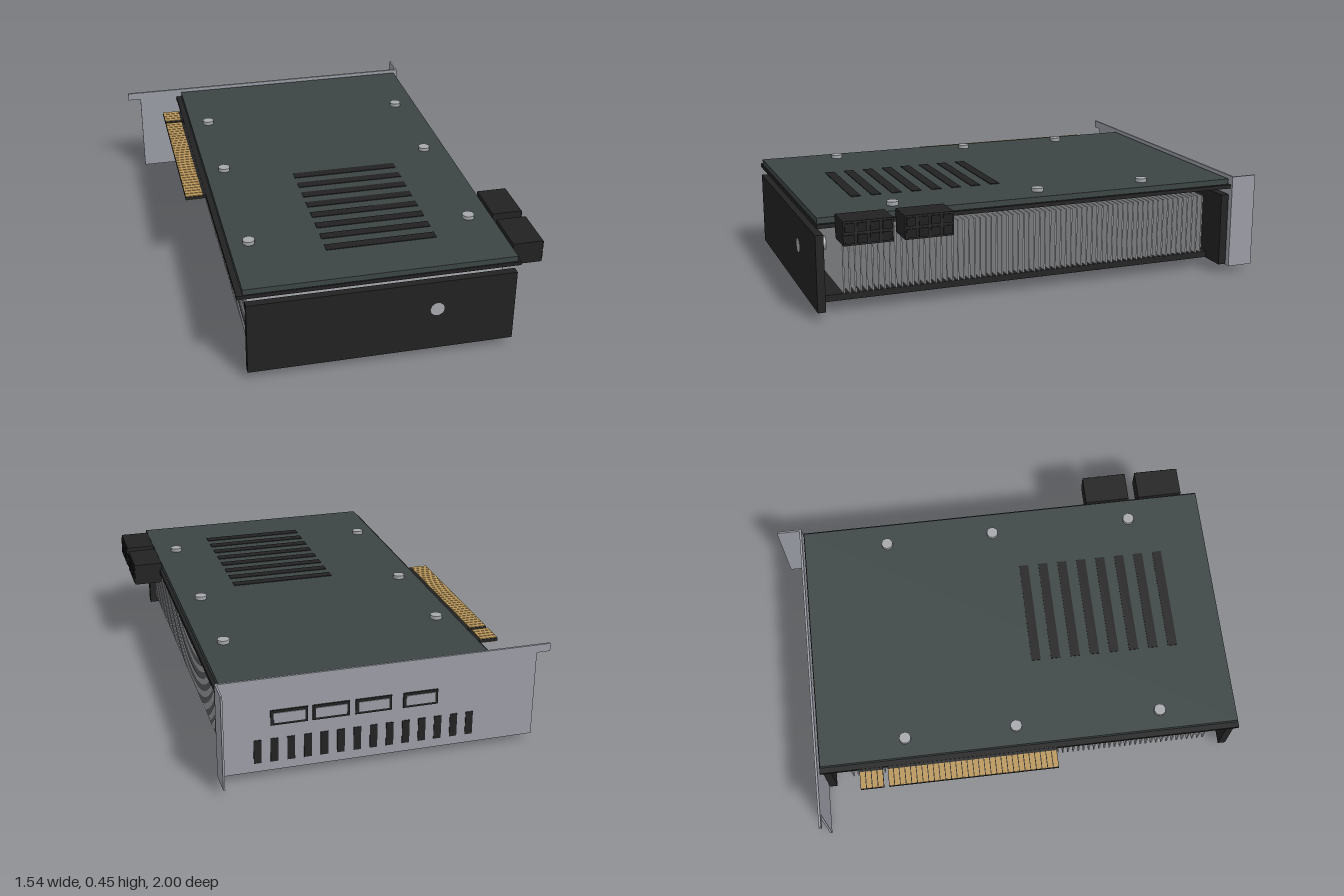
import * as THREE from 'three';

export function createModel() {
  const model = new THREE.Group();
  const mat = (name, color) => {
    const m = new THREE.MeshStandardMaterial({ color });
    m.name = name;
    return m;
  };
  const black = mat('black plastic', 0x222222);
  const fanBlack = mat('fan black', 0x1b1b1b);
  const slate = mat('slate metal', 0x3c4444);
  const steel = mat('bracket steel', 0x9a9ca5);
  const aluminium = mat('fin aluminium', 0xa6a8ac);
  const gold = mat('gold contact', 0xb8965a);
  const purple = mat('purple strip', 0x33217a);

  const add = (name, geometry, material, parent = model) => {
    const m = new THREE.Mesh(geometry, material);
    m.name = name;
    parent.add(m);
    return m;
  };
  // Box given by its minimum and maximum on each axis
  const box = (name, material, [x0, x1], [y0, y1], [z0, z1], parent = model) => {
    const m = add(name, new THREE.BoxGeometry(x1 - x0, y1 - y0, z1 - z0), material, parent);
    m.position.set((x0 + x1) / 2, (y0 + y1) / 2, (z0 + z1) / 2);
    return m;
  };
  const group = (name) => {
    const g = new THREE.Group();
    g.name = name;
    model.add(g);
    return g;
  };

  // Circuit board and backplate with vent slots
  box('circuitBoard', black, [-0.53, 0.645], [0.392, 0.409], [-0.88, 0.995]);
  box('backplate', slate, [-0.505, 0.63], [0.409, 0.433], [-0.875, 0.99]);
  const slots = group('backplateSlots');
  for (let i = 0; i < 8; i++) {
    const z = 0.132 + i * 0.0893;
    box('slot', black, [-0.12, 0.35], [0.431, 0.436], [z - 0.021, z + 0.021], slots);
  }

  // Backplate screws
  const screws = group('screws');
  for (const x of [-0.42, 0.53]) {
    for (const z of [-0.49, 0.005, 0.65]) {
      add('screw', new THREE.CylinderGeometry(0.026, 0.026, 0.018, 12), aluminium, screws).position.set(x, 0.44, z);
    }
  }

  // Edge connector with gold fingers on both faces
  const edge = group('edgeConnector');
  for (const [z0, z1, count] of [[-0.705, -0.602, 4], [-0.58, 0.172, 30]]) {
    box('connectorTab', black, [-0.62, -0.52], [0.393, 0.407], [z0, z1], edge);
    const pitch = (z1 - z0) / count;
    for (let i = 0; i < count; i++) {
      const z = z0 + (i + 0.5) * pitch;
      const span = [z - pitch * 0.43, z + pitch * 0.43];
      box('finger', gold, [-0.619, -0.543], [0.406, 0.41], span, edge);
      box('finger', gold, [-0.619, -0.543], [0.39, 0.394], span, edge);
    }
  }

  // Power sockets, each with two rows of four cells
  const power = group('powerSockets');
  for (const [z0, z1] of [[0.465, 0.668], [0.715, 0.918]]) {
    box('socketBody', black, [0.635, 0.765], [0.346, 0.445], [z0, z1], power);
    for (let i = 0; i < 4; i++) {
      for (const y of [0.372, 0.419]) {
        const z = z0 + (i + 0.5) * (z1 - z0) / 4;
        box('socketCell', fanBlack, [0.764, 0.77], [y - 0.018, y + 0.018], [z - 0.019, z + 0.019], power);
      }
    }
  }

  // End plates and shroud
  box('frontPlate', black, [-0.495, 0.63], [0.037, 0.361], [0.965, 0.999]);
  box('rearPlate', black, [-0.495, 0.63], [0.037, 0.361], [-0.88, -0.845]);
  box('fanShroud', black, [-0.365, 0.515], [0.04, 0.068], [-0.85, 0.97]);
  for (const x of [-0.335, 0.485]) {
    box('accentStrip', purple, [x - 0.016, x + 0.016], [0.035, 0.041], [-0.83, 0.95]);
  }

  // Cooling fins and the heat pipe through them
  const fins = group('coolingFins');
  for (let i = 0; i < 68; i++) {
    const z = 0.883 - i * 0.0245;
    box('fin', aluminium, [-0.475, 0.61], [0.1, 0.361], [z - 0.003, z + 0.003], fins);
  }
  const pipe = add('heatPipe', new THREE.CylinderGeometry(0.03, 0.03, 1.84, 20), aluminium);
  pipe.rotation.x = Math.PI / 2;
  pipe.position.set(0.295, 0.23, 0.08);

  // Two fans with pitched blades that show below the shroud
  for (const z of [0.425, -0.405]) {
    const fan = group('fan');
    fan.position.set(0.075, 0.0625, z);
    add('fanFrame', new THREE.CylinderGeometry(0.39, 0.39, 0.025, 40), black, fan).position.y = 0.01;
    add('fanHub', new THREE.CylinderGeometry(0.09, 0.09, 0.09, 24), fanBlack, fan);
    for (let i = 0; i < 9; i++) {
      const arm = new THREE.Group();
      arm.name = 'bladeArm';
      arm.rotation.y = (i / 9) * Math.PI * 2;
      fan.add(arm);
      const blade = add('blade', new THREE.BoxGeometry(0.27, 0.008, 0.166), fanBlack, arm);
      blade.position.x = 0.205;
      blade.rotation.x = Math.PI / 4;
    }
  }

  // Mounting bracket: outline with side tab, plus bent flange
  const outline = new THREE.Shape([
    [-0.715, 0.03], [0.65, 0.03], [0.65, 0.445], [-0.775, 0.445], [-0.775, 0.41], [-0.715, 0.41],
  ].map(([x, y]) => new THREE.Vector2(x, y)));
  const bracket = add('bracketPlate', new THREE.ExtrudeGeometry(outline, { depth: 0.01, bevelEnabled: false }), steel);
  bracket.position.z = -0.895;
  box('bracketFlange', steel, [0.642, 0.65], [0.03, 0.445], [-1, -0.886]);

  // Bracket vents
  const vents = group('bracketVents');
  for (let i = 0; i < 14; i++) {
    const x = 0.485 - i * 0.07;
    box('vent', black, [x - 0.016, x + 0.016], [0.07, 0.175], [-0.898, -0.893], vents);
  }

  // Display ports: dark housing with a metal face
  const ports = group('displayPorts');
  [[0.275, 0.43], [0.1, 0.255], [-0.08, 0.075], [-0.28, -0.13]].forEach(([x0, x1]) => {
    box('portHousing', black, [x0, x1], [0.236, 0.302], [-0.901, -0.82], ports);
    box('portFace', steel, [x0 + 0.012, x1 - 0.012], [0.247, 0.291], [-0.904, -0.9], ports);
  });

  return model;
}
